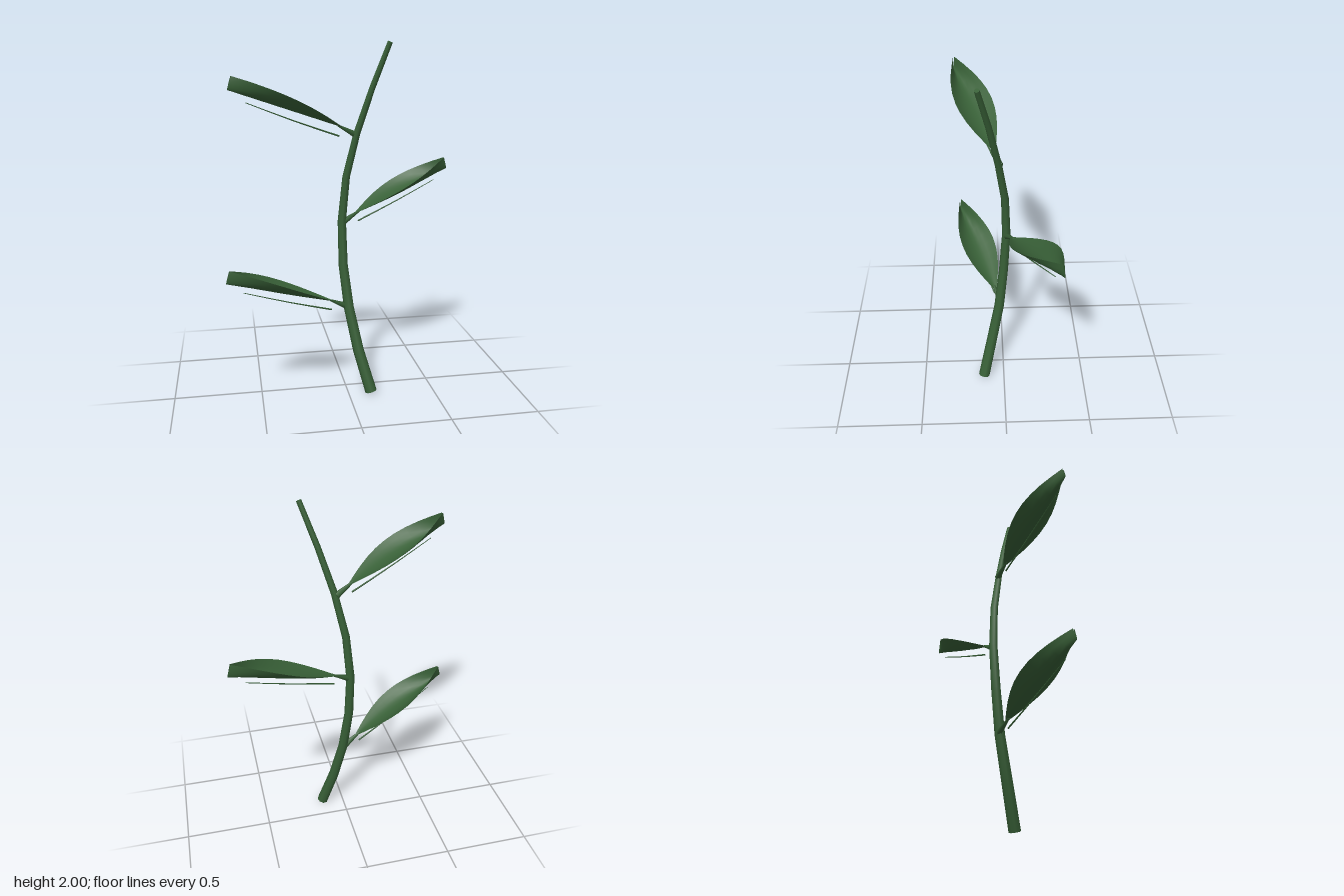
import * as THREE from 'three';

const green = new THREE.MeshStandardMaterial({ color: 0x386037 });
green.name = 'leafGreen';
const greenSheet = new THREE.MeshStandardMaterial({ color: 0x386037, side: THREE.DoubleSide });
greenSheet.name = 'leafGreenSheet';

const V = (x, y, z) => new THREE.Vector3(x, y, z);

// Tube along a path whose radius shrinks from r0 to r1, with closed ends
function taperedTube(name, points, r0, r1, segments, sides) {
  const group = new THREE.Group();
  group.name = name;
  const path = new THREE.CatmullRomCurve3(points);
  const geo = new THREE.TubeGeometry(path, segments, 1, sides, false);
  const pos = geo.attributes.position;
  const p = V(0, 0, 0);
  for (let i = 0; i < pos.count; i++) {
    const t = Math.floor(i / (sides + 1)) / segments;
    const c = path.getPointAt(t);
    p.fromBufferAttribute(pos, i).sub(c).multiplyScalar(r0 + (r1 - r0) * t).add(c);
    pos.setXYZ(i, p.x, p.y, p.z);
  }
  const tube = new THREE.Mesh(geo, green);
  tube.name = name + 'Body';
  group.add(tube);
  for (const [t, r, dir] of [[0, r0, -1], [1, r1, 1]]) {
    const cap = new THREE.Mesh(new THREE.CircleGeometry(r, sides), green);
    cap.name = name + 'Cap';
    cap.position.copy(path.getPointAt(t));
    cap.quaternion.setFromUnitVectors(V(0, 0, 1), path.getTangentAt(t).multiplyScalar(dir));
    group.add(cap);
  }
  return group;
}

// Blade: a spindle outline cupped upwards, the cup deepening towards the tip
function bladeGeometry(base, tip, halfWidth, depth) {
  const geo = new THREE.PlaneGeometry(2, 1, 8, 10);
  const along = tip.clone().sub(base);
  const dir = along.clone().normalize();
  const side = dir.clone().cross(V(0, 1, 0)).normalize();
  const up = side.clone().cross(dir);
  const pos = geo.attributes.position;
  for (let i = 0; i < pos.count; i++) {
    const u = pos.getX(i);
    const t = pos.getY(i) + 0.5;
    const w = halfWidth * Math.sin(Math.PI * t) + 0.004;
    const lift = depth * Math.sin(t * Math.PI / 2) * u * u;
    const p = base.clone().addScaledVector(along, t)
      .addScaledVector(side, u * w).addScaledVector(up, lift);
    pos.setXYZ(i, p.x, p.y, p.z);
  }
  geo.computeVertexNormals();
  return geo;
}

// Leaf with its stalk and the thin rib hanging below
function makeLeaf(name) {
  const leaf = new THREE.Group();
  leaf.name = name;
  const base = V(-0.06, 0.036, 0.022);
  const blade = new THREE.Mesh(bladeGeometry(base, V(-0.675, 0.25, 0.245), 0.1, 0.07), greenSheet);
  blade.name = 'blade';
  leaf.add(blade);
  leaf.add(taperedTube('stalk', [V(0.01, -0.005, -0.003), V(-0.09, 0.049, 0.033)], 0.019, 0.006, 1, 6));
  leaf.add(taperedTube('rib', [V(-0.085, -0.008, 0.03), V(-0.335, 0.084, 0.121), V(-0.585, 0.185, 0.212)], 0.005, 0.002, 4, 5));
  return leaf;
}

export function createModel() {
  const model = new THREE.Group();
  model.name = 'plantSprig';

  // Bowed stem
  model.add(taperedTube('stem', [
    V(0.13, 0.012, 0.125), V(0.06, 0.27, 0.07), V(0.013, 0.52, 0.022), V(-0.015, 0.78, -0.004),
    V(-0.018, 1.02, -0.018), V(0.004, 1.26, -0.01), V(0.055, 1.5, 0.025), V(0.13, 1.75, 0.072),
    V(0.214, 1.995, 0.128),
  ], 0.034, 0.014, 8, 8));

  // Alternating leaves, the middle one turned to the other side
  [
    ['lowerLeaf', -0.005, 0.515, 0.02, 0],
    ['middleLeaf', -0.002, 1.01, -0.02, Math.PI],
    ['upperLeaf', 0.04, 1.51, 0.022, 0],
  ].forEach(([name, x, y, z, turn]) => {
    const leaf = makeLeaf(name);
    leaf.position.set(x, y, z);
    leaf.rotation.y = turn;
    model.add(leaf);
  });

  return model;
}
